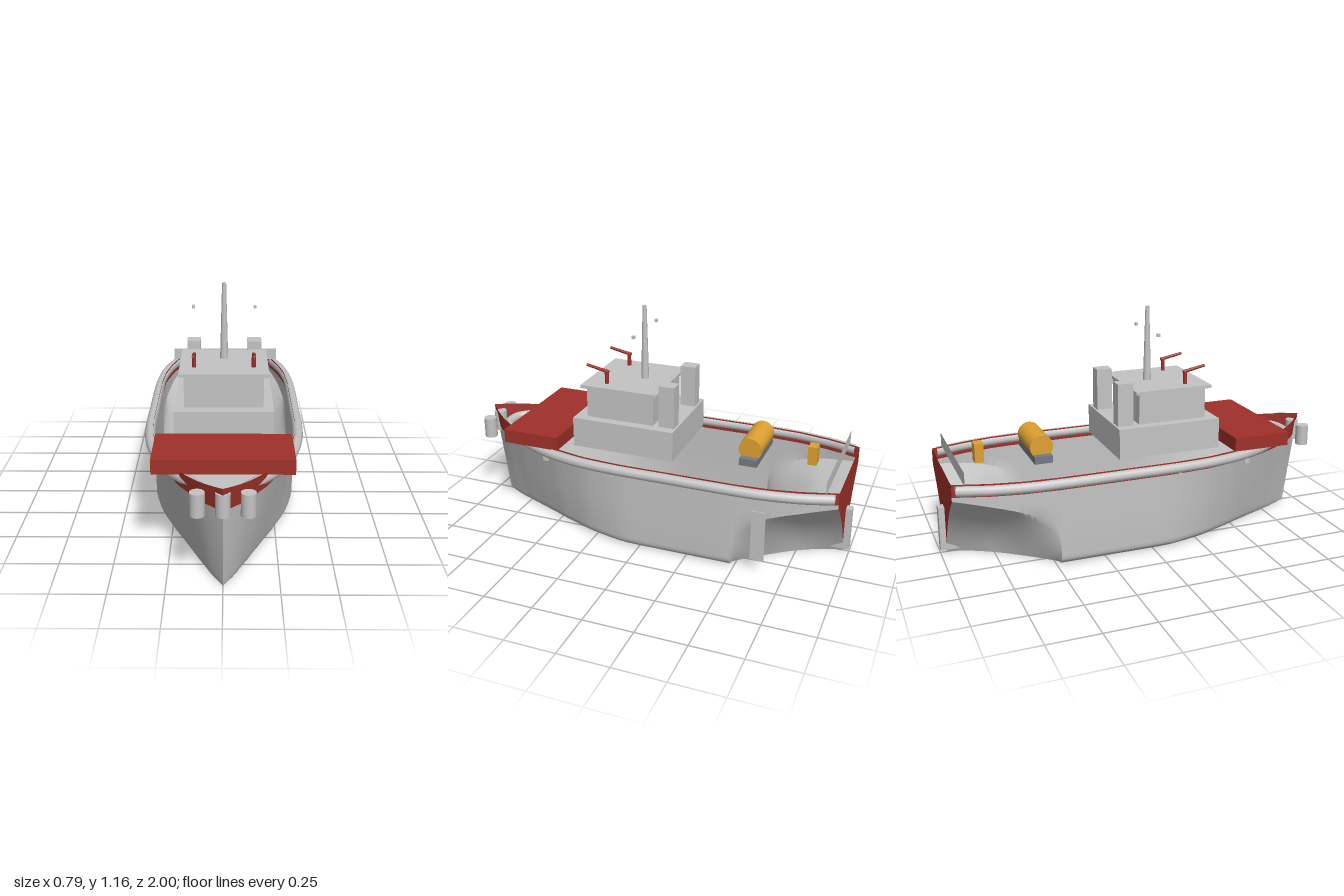
import * as THREE from 'three';
import { toCreasedNormals } from 'three/addons/utils/BufferGeometryUtils.js';

const mat = (name, color, side = THREE.FrontSide) => {
  const m = new THREE.MeshStandardMaterial({ color, side });
  m.name = name;
  return m;
};
const lerp = THREE.MathUtils.lerp;
const smooth = THREE.MathUtils.smoothstep;

// Half-width of the hull at the rail, by station
const WIDTHS = [[-0.97, 0.268], [-0.8, 0.318], [-0.65, 0.345], [-0.48, 0.355], [0.1, 0.357], [0.3, 0.343],
  [0.47, 0.305], [0.6, 0.253], [0.71, 0.193], [0.84, 0.095], [0.93, 0]];
function halfWidth(z) {
  for (let i = 1; i < WIDTHS.length; i++) {
    const [z0, w0] = WIDTHS[i - 1], [z1, w1] = WIDTHS[i];
    if (z <= z1) return lerp(w0, w1, (z - z0) / (z1 - z0));
  }
  return 0;
}
// The stem rakes forward with height
const rake = (z, y) => z + y * 0.14 * smooth(z, 0.4, 0.93);
const DECK = 0.39, RAIL = 0.453;

// Half cross-section: flat bottom, bilge curve (hollow towards the stern), side flaring at the bow
function hullSection(z) {
  const w = halfWidth(z);
  const t = Math.max(0, (-0.48 - z) / 0.49), k = Math.pow(t, 0.4);
  const foot = w * (1 - 0.4 * smooth(z, 0, 0.8));
  const sideX = (y) => lerp(foot, w, y / DECK);
  const f = foot * 0.85 * Math.pow(1 - t, 1.4);
  const yk = lerp(0.05, 0.37, Math.pow(t, 0.26));
  const bilge = new THREE.QuadraticBezierCurve(
    new THREE.Vector2(f, 0),
    new THREE.Vector2(lerp(foot, Math.max(f, 0.085), k), lerp(0, 0.22, k)),
    new THREE.Vector2(sideX(yk), yk));
  const pts = [[0, 0], [f / 2, 0]];
  for (const p of bilge.getPoints(8)) pts.push([p.x, p.y]);
  const ym = (yk + DECK) / 2;
  pts.push([sideX(ym), ym], [w, DECK]);
  return pts;
}
function bulwarkSection(z) {
  const w = halfWidth(z);
  const top = RAIL + 0.049 * Math.pow(Math.max(0, (z - 0.62) / 0.31), 1.3);
  return [[w, DECK], [w, (DECK + top) / 2], [w, top]];
}

// Skin through a list of stations, one side only
function skin(stations, section, sign) {
  const pos = [], idx = [];
  let n = 0;
  stations.forEach((z, i) => {
    const pts = section(z);
    n = pts.length;
    for (const [x, y] of pts) pos.push(sign * x, y, rake(z, y));
    if (i === 0) return;
    for (let j = 0; j < n - 1; j++) {
      const a = (i - 1) * n + j, b = a + 1, c = a + n, d = c + 1;
      if (sign > 0) idx.push(a, b, c, b, d, c);
      else idx.push(a, c, b, b, c, d);
    }
  });
  const g = new THREE.BufferGeometry();
  g.setAttribute('position', new THREE.Float32BufferAttribute(pos, 3));
  g.setIndex(idx);
  return toCreasedNormals(g, 0.6);
}

export function createModel() {
  const root = new THREE.Group();
  root.name = 'tugboat';
  const grey = mat('light grey', 0xc4c4c4);
  const greySheet = mat('hull grey', 0xc4c4c4, THREE.DoubleSide);
  const red = mat('red', 0xa0312a);
  const redSheet = mat('bulwark red', 0xa0312a, THREE.DoubleSide);
  const yellow = mat('yellow', 0xdfa231);
  const dark = mat('dark grey', 0x757b84);

  const add = (name, geo, material, x = 0, y = 0, z = 0) => {
    const m = new THREE.Mesh(geo, material);
    m.name = name;
    m.position.set(x, y, z);
    root.add(m);
    return m;
  };
  // Box given by its limits on each axis
  const box = (name, m, x0, x1, y0, y1, z0, z1) =>
    add(name, new THREE.BoxGeometry(x1 - x0, y1 - y0, z1 - z0), m, (x0 + x1) / 2, (y0 + y1) / 2, (z0 + z1) / 2);

  // Open hull shell and bulwark
  const stations = [];
  for (let i = 0; i <= 20; i++) stations.push(-0.481 - 0.489 * Math.pow(1 - i / 20, 1.5));
  for (let i = 0; i <= 8; i++) stations.push(lerp(-0.48, 0, i / 8));
  for (let i = 1; i <= 26; i++) stations.push(lerp(0, 0.93, i / 26));
  for (const s of [1, -1]) {
    add('hullSide', skin(stations, hullSection, s), greySheet);
    add('bulwark', skin(stations, bulwarkSection, s), redSheet);
  }

  // Transom up to the rail, and the thin upright board across the stern
  const half = [...hullSection(-0.97), [halfWidth(-0.97), RAIL]];
  const outline = [...half, ...half.slice(1).reverse().map(([x, y]) => [-x, y])];
  const transom = new THREE.Shape(outline.map(([x, y]) => new THREE.Vector2(x, y)));
  add('transom', new THREE.ShapeGeometry(transom), redSheet, 0, 0, -0.97);
  add('sternBoard', new THREE.PlaneGeometry(0.625, 0.068), greySheet, 0, 0.485, -0.915);

  // Rubber fender all round
  const side = [[0.29, -0.95], [0.335, -0.8], [0.363, -0.62], [0.37, -0.45], [0.37, -0.15], [0.37, 0.12],
    [0.354, 0.32], [0.312, 0.5], [0.24, 0.655], [0.15, 0.77], [0.065, 0.875], [0.045, 0.888]];
  const path = [...side, ...side.slice().reverse().map(([x, z]) => [-x, z])]
    .map(([x, z]) => new THREE.Vector3(x, 0.426, z));
  const fenderCurve = new THREE.CatmullRomCurve3(path, false, 'centripetal');
  add('fender', new THREE.TubeGeometry(fenderCurve, 120, 0.026, 8), grey);
  for (const end of [path[0], path[path.length - 1]]) {
    const cap = add('fenderEnd', new THREE.CircleGeometry(0.026, 8), grey, end.x, end.y, end.z);
    cap.rotation.y = Math.PI - Math.sign(end.x) * 0.25;
  }

  // Bow fenders
  for (const x of [-0.108, 0, 0.108])
    add('bowFender', new THREE.CylinderGeometry(0.033, 0.033, 0.107, 20), grey, x, 0.417, 0.965);

  // Foredeck block and superstructure
  box('foredeckBlock', red, -0.32, 0.32, 0.45, 0.52, 0.45, 0.75);
  box('deckhouse', grey, -0.237, 0.237, 0.455, 0.608, -0.14, 0.395);
  box('wheelhouse', grey, -0.19, 0.19, 0.608, 0.765, -0.02, 0.335);
  box('wheelhouseRoof', grey, -0.214, 0.214, 0.765, 0.781, -0.045, 0.358);

  // Mast
  add('mast', new THREE.CylinderGeometry(0.01, 0.02, 0.38, 16), grey, 0, 0.97, 0.097);

  for (const s of [1, -1]) {
    const cx = s * 0.155;
    box('funnel', grey, cx - 0.034, cx + 0.034, 0.608, 0.822, -0.13, -0.05);
    box('mastLamp', grey, s * 0.149 - 0.007, s * 0.149 + 0.007, 1.033, 1.048, 0.088, 0.102);
    // Water cannon: post and barrel
    add('cannonPost', new THREE.CylinderGeometry(0.01, 0.01, 0.065, 12), red, s * 0.143, 0.812, 0.245);
    const barrel = add('cannonBarrel', new THREE.CylinderGeometry(0.007, 0.009, 0.12, 12), red, s * 0.143, 0.854, 0.292);
    barrel.rotation.x = Math.PI / 2 - 0.2;
    // Small brackets below the fender
    box('bracket', grey, s * 0.283 - 0.006, s * 0.283 + 0.006, 0.365, 0.4, 0.52, 0.55);
    box('bracket', grey, s * 0.358 - 0.004, s * 0.358 + 0.004, 0.375, 0.4, 0.12, 0.14);
  }
  // Upright plate on the left quarter
  box('sidePlate', grey, 0.351, 0.357, 0.07, 0.33, -0.65, -0.582);

  // Towing winch and bitt
  box('winchBase', dark, -0.155, 0.155, 0.455, 0.492, -0.545, -0.455);
  const drum = add('winchDrum', new THREE.CylinderGeometry(0.058, 0.058, 0.24, 28), yellow, 0, 0.528, -0.5);
  drum.rotation.z = Math.PI / 2;
  box('towingBitt', yellow, -0.03, 0.03, 0.455, 0.55, -0.81, -0.765);

  // Propeller and rudder
  const hub = add('propellerHub', new THREE.CylinderGeometry(0.03, 0.03, 0.08, 16), dark, 0, 0.12, -0.65);
  hub.rotation.x = Math.PI / 2;
  for (let i = 0; i < 4; i++) {
    const blade = new THREE.BoxGeometry(0.085, 0.1, 0.01);
    blade.rotateY(-0.85).translate(0, 0.068, 0).rotateZ(i * Math.PI / 2);
    add('propellerBlade', blade, yellow, 0, 0.12, -0.655);
  }
  box('rudder', grey, -0.023, 0.023, 0.02, 0.245, -1, -0.83);

  return root;
}
